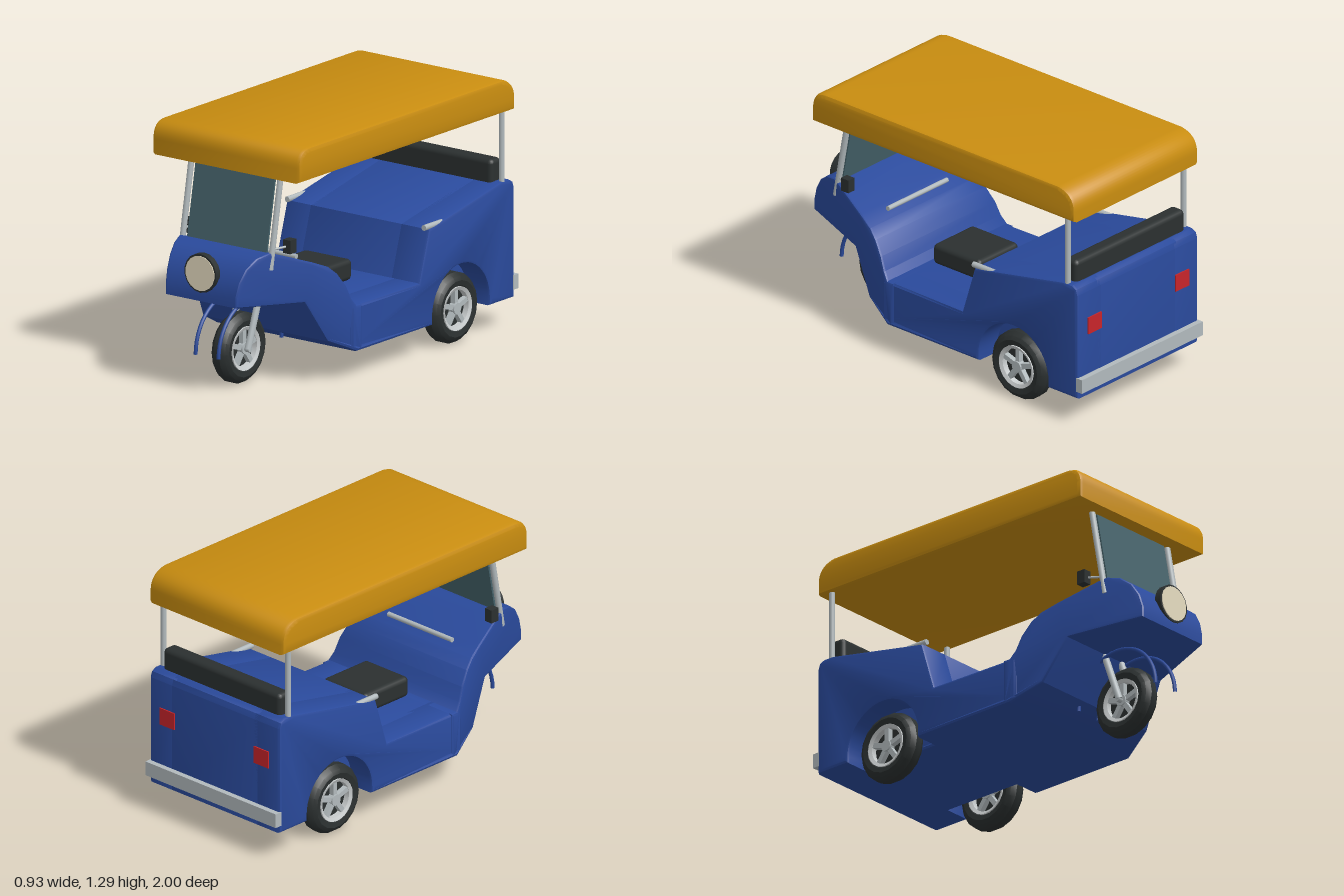
import * as THREE from 'three';
import { toCreasedNormals } from 'three/addons/utils/BufferGeometryUtils.js';
import { RoundedBoxGeometry } from 'three/addons/geometries/RoundedBoxGeometry.js';

const mat = (color, side = THREE.FrontSide) => new THREE.MeshStandardMaterial({ color, side });
const blue = mat(0x2a4a9c), amber = mat(0xc98d10), metal = mat(0xb2babd), black = mat(0x2b3030);
const glass = mat(0x45626a, THREE.DoubleSide), cream = mat(0xe6dcc0), red = mat(0xc8242a);

function add(parent, name, geometry, material, x = 0, y = 0, z = 0) {
  const mesh = new THREE.Mesh(geometry, material);
  mesh.name = name;
  mesh.position.set(x, y, z);
  parent.add(mesh);
  return mesh;
}

// Round bar between two points
function bar(parent, name, a, b, radius, material = metal) {
  const from = new THREE.Vector3(...a), to = new THREE.Vector3(...b);
  const mesh = add(parent, name, new THREE.CylinderGeometry(radius, radius, from.distanceTo(to), 10), material);
  mesh.position.copy(from).lerp(to, 0.5);
  mesh.quaternion.setFromUnitVectors(new THREE.Vector3(0, 1, 0), to.sub(from).normalize());
  return mesh;
}

// Side outline (z, y) extruded across x with bevelled edges
function slab(shape, x0, x1, bevel) {
  const g = new THREE.ExtrudeGeometry(shape, {
    depth: x1 - x0 - 2 * bevel, bevelEnabled: true, bevelThickness: bevel,
    bevelSize: bevel, bevelOffset: -bevel, bevelSegments: 2, curveSegments: 12,
  });
  g.rotateY(-Math.PI / 2);
  g.translate(x1 - bevel, 0, 0);
  return g;
}

const outline = (points) => new THREE.Shape(points.map(([z, y]) => new THREE.Vector2(z, y)));

// Narrow the body linearly towards the nose
function taper(g) {
  const p = g.attributes.position;
  for (let i = 0; i < p.count; i++) {
    const k = 1 - 0.725 * Math.max(0, p.getZ(i) - 0.3);
    p.setX(i, p.getX(i) * k);
  }
  return toCreasedNormals(g, 0.5);
}

function rearOutline(withArch) {
  const s = outline([
    [0.34, 0.17], [0.34, 0.39], [-0.2, 0.39], [-0.28, 0.65], [-0.87, 0.765],
    [-0.93, 0.765], [-0.96, 0.75], [-0.97, 0.72], [-0.97, 0.15], [-0.77, 0.15],
  ]);
  if (withArch) {
    s.lineTo(-0.77, 0.185);
    s.absarc(-0.54, 0.185, 0.23, Math.PI, 0, true);
    s.lineTo(-0.31, 0.15);
  }
  s.lineTo(0.3, 0.15);
  return s;
}

function body(parent) {
  const g = new THREE.Group();
  g.name = 'body';
  parent.add(g);
  const cowl = outline([
    [0.26, 0.15], [0.3, 0.15], [0.47, 0.23], [0.6, 0.45], [0.99, 0.485], [0.99, 0.54],
    [0.97, 0.61], [0.93, 0.675], [0.87, 0.72], [0.8, 0.737], [0.76, 0.727], [0.55, 0.65],
    [0.46, 0.612], [0.41, 0.57], [0.36, 0.5], [0.33, 0.43], [0.3, 0.39], [0.26, 0.39],
  ]);
  add(g, 'frontCowl', taper(slab(cowl, -0.45, 0.45, 0.015)), blue);
  add(g, 'rearBodyCentre', taper(slab(rearOutline(false), -0.31, 0.31, 0.015)), blue);
  for (const [x0, x1] of [[0.26, 0.45], [-0.45, -0.26]]) {
    add(g, 'rearBodySide', taper(slab(rearOutline(true), x0, x1, 0.015)), blue);
  }
}

function roof(parent) {
  const s = new THREE.Shape();
  s.moveTo(0.79, 1.122);
  s.lineTo(0.79, 1.2);
  s.quadraticCurveTo(0.79, 1.295, 0.69, 1.295);
  s.lineTo(-0.85, 1.295);
  s.quadraticCurveTo(-0.96, 1.28, -0.96, 1.18);
  s.lineTo(-0.96, 1.122);
  add(parent, 'roof', toCreasedNormals(slab(s, -0.465, 0.465, 0.022), 0.6), amber);
}

function wheel(parent, name, x, z, w) {
  const g = new THREE.Group();
  g.name = name;
  g.position.set(x, 0.182, z);
  parent.add(g);
  // Tyre section, closed loop
  const profile = [
    [0.11, -0.7], [0.11, 0.7], [0.118, 0.9], [0.145, 1], [0.165, 0.8], [0.182, 0.35],
    [0.182, -0.35], [0.165, -0.8], [0.145, -1], [0.118, -0.9], [0.11, -0.7],
  ].map(([r, t]) => new THREE.Vector2(r, -t * w));
  const tyre = new THREE.LatheGeometry(profile.reverse(), 18).rotateZ(Math.PI / 2);
  add(g, 'tyre', toCreasedNormals(tyre, 0.5), mat(0x2b3030, THREE.DoubleSide));
  const ring = [[0.095, -0.8], [0.113, -0.95], [0.113, 0.95], [0.095, 0.8], [0.095, -0.8]];
  const rim = new THREE.LatheGeometry(ring.map(([r, t]) => new THREE.Vector2(r, t * w)), 24);
  add(g, 'rim', toCreasedNormals(rim.rotateZ(Math.PI / 2), 0.5), mat(0xc8cccd, THREE.DoubleSide));
  add(g, 'wheelDisc', new THREE.CylinderGeometry(0.1, 0.1, w * 0.5, 20).rotateZ(Math.PI / 2), black);
  add(g, 'hub', new THREE.CylinderGeometry(0.03, 0.03, w * 1.8, 12).rotateZ(Math.PI / 2), metal);
  for (let i = 0; i < 5; i++) {
    const spoke = new THREE.BoxGeometry(w * 1.5, 0.08, 0.026).translate(0, 0.06, 0);
    add(g, 'spoke', spoke.rotateX((i * 2 * Math.PI) / 5), metal);
  }
}

export function createModel() {
  const model = new THREE.Group();
  model.name = 'threeWheeler';
  body(model);
  roof(model);
  wheel(model, 'frontWheel', 0, 0.685, 0.052);

  // Paired parts
  for (const s of [1, -1]) {
    wheel(model, 'rearWheel', s * 0.375, -0.54, 0.056);
    bar(model, 'frontPillar', [s * 0.28, 0.65, 0.79], [s * 0.28, 1.14, 0.7], 0.016);
    bar(model, 'rearPost', [s * 0.43, 0.72, -0.89], [s * 0.43, 1.14, -0.89], 0.015);
    bar(model, 'armRail', [s * 0.43, 0.66, -0.26], [s * 0.43, 0.66, -0.5], 0.015);
    bar(model, 'frontFork', [s * 0.062, 0.47, 0.585], [s * 0.062, 0.18, 0.69], 0.018);
    bar(model, 'mirrorStalk', [s * 0.28, 0.75, 0.77], [s * 0.315, 0.757, 0.69], 0.006);
    add(model, 'mirror', new THREE.BoxGeometry(0.045, 0.07, 0.05), black, s * 0.318, 0.757, 0.68);
    add(model, 'tailLight', new THREE.BoxGeometry(0.1, 0.09, 0.02), red, s * 0.325, 0.53, -0.967);
    const rail = new THREE.TorusGeometry(0.255, 0.01, 8, 24, Math.PI).rotateY(Math.PI / 2);
    add(model, 'fenderRail', rail, blue, s * 0.072, 0.188, 0.685);
  }
  bar(model, 'frontAxle', [-0.075, 0.182, 0.685], [0.075, 0.182, 0.685], 0.016);
  bar(model, 'rearAxle', [-0.38, 0.182, -0.54], [0.38, 0.182, -0.54], 0.02);
  bar(model, 'handlebar', [-0.22, 0.645, 0.5], [0.22, 0.645, 0.5], 0.013);

  // Windscreen leaning back with the pillars
  const screen = add(model, 'windscreen', new THREE.BoxGeometry(0.5, 0.43, 0.01), glass, 0, 0.925, 0.74);
  screen.rotation.x = -0.182;

  // Headlight
  const disc = (r, d) => new THREE.CylinderGeometry(r, r, d, 18).rotateX(Math.PI / 2);
  add(model, 'headlightRim', disc(0.1, 0.035), black, 0, 0.63, 0.978);
  add(model, 'headlightLens', disc(0.09, 0.02), cream, 0, 0.63, 0.99);

  // Seats and bumper
  add(model, 'driverSeat', new RoundedBoxGeometry(0.3, 0.11, 0.315, 2, 0.025), black, 0, 0.447, 0.11);
  add(model, 'rearBackrest', new RoundedBoxGeometry(0.81, 0.2, 0.085, 2, 0.025), black, 0, 0.777, -0.882);
  add(model, 'rearBumper', new THREE.BoxGeometry(0.9, 0.075, 0.04), metal, 0, 0.228, -0.98);
  return model;
}
